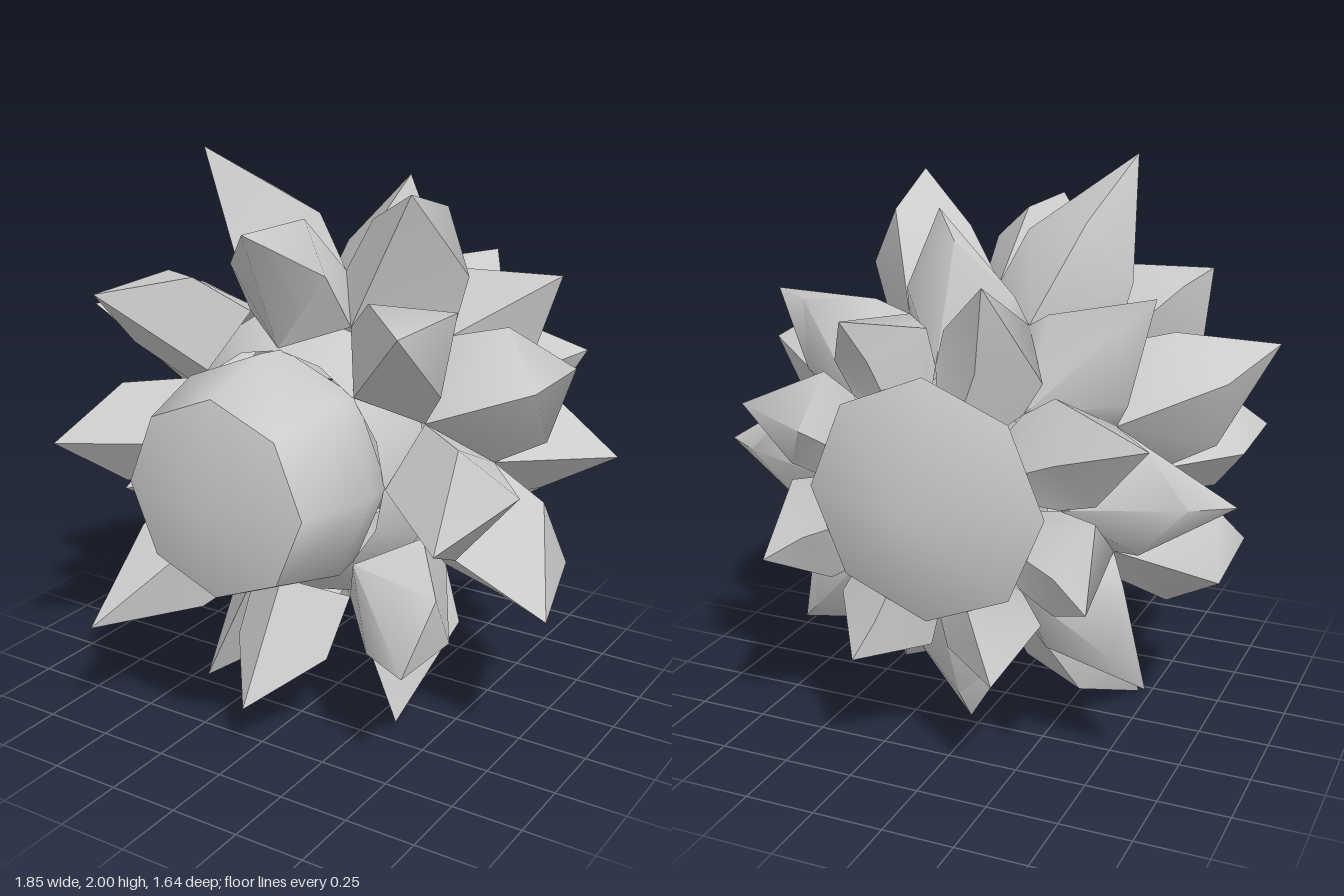
import * as THREE from 'three';
import { mergeVertices, toCreasedNormals } from 'three/addons/utils/BufferGeometryUtils.js';

const CY = 0.985; // height of the flower's axis
const HALF = Math.PI / 8; // half the angle between neighbouring petals
const mat = new THREE.MeshStandardMaterial({ color: 0xcccccc, side: THREE.DoubleSide });

// Body lattice, front to back as [radius, z]; neighbouring petals share these nodes.
const nodes = [[0.41, 0.37], [0.52, 0.24], [0.59, -0.05], [0.56, -0.31], [0.42, -0.56], [0.1, -0.61]];

// Hooded petal over one diamond cell of the lattice. Profile points are [radius, z]
// plus the shoulder's half width; tip is a free [x, y, z] point.
function petalGeometry(angle, tip, row, { knee, shoulder }) {
  const c = Math.cos(angle), s = Math.sin(angle);
  const at = (r, z, t = 0) => [r * c - t * s, r * s + t * c, z];
  const [br, bz] = nodes[row + 1];
  const T = [tip[0], tip[1] - CY, tip[2]];
  const K = at(...knee), F = at(...nodes[row]), R = at(...nodes[row + 2]);
  const pos = [];
  for (const side of [1, -1]) {
    const S = at(shoulder[0], shoulder[1], side * shoulder[2]);
    const B = at(br * Math.cos(HALF), bz, side * br * Math.sin(HALF));
    for (const f of [[T, K, S], [K, R, S], [T, S, F], [S, B, F], [S, R, B]]) {
      if (side < 0) f.reverse();
      pos.push(...f.flat());
    }
  }
  const g = new THREE.BufferGeometry();
  g.setAttribute('position', new THREE.Float32BufferAttribute(pos, 3));
  return toCreasedNormals(g, 1.1);
}

// Four rings of eight petals from front to back; tips run counter-clockwise.
const rings = [
  {
    name: 'frontPetal', knee: [0.81, 0.21], shoulder: [0.67, 0.37, 0.185],
    tips: [[0.8, 0.985, 0.76], [0.58, 1.56, 0.6], [0, 1.8, 0.56], [-0.57, 1.55, 0.61],
      [-0.8, 0.985, 0.6], [-0.54, 0.4, 0.75], [0, 0.18, 0.61], [0.57, 0.42, 0.53]],
  },
  {
    name: 'outerPetal', knee: [0.9, -0.14], shoulder: [0.76, -0.05, 0.2],
    tips: [[0.84, 1.33, 0.19], [0.4, 1.91, 0.21], [-0.4, 2.0, 0.21], [-0.92, 1.39, 0.21],
      [-0.83, 0.68, 0.2], [-0.455, 0, 0.21], [0.37, 0.05, 0.21], [0.92, 0.58, 0.21]],
  },
  {
    name: 'rearPetal', knee: [0.79, -0.41], shoulder: [0.62, -0.37, 0.19],
    tips: [[0.925, 0.985, -0.32], [0.66, 1.57, -0.39], [0.07, 1.87, -0.37], [-0.66, 1.64, -0.38],
      [-0.925, 0.985, -0.32], [-0.66, 0.33, -0.38], [0, 0.06, -0.31], [0.66, 0.33, -0.31]],
  },
  {
    name: 'backPetal', knee: [0.48, -0.67], shoulder: [0.51, -0.56, 0.18],
    tips: [[0.65, 1.24, -0.67], [0.25, 1.56, -0.72], [-0.22, 1.7, -0.7], [-0.74, 1.25, -0.67],
      [-0.57, 0.72, -0.72], [-0.25, 0.41, -0.71], [0.25, 0.41, -0.71], [0.57, 0.72, -0.72]],
  },
];

export function createModel() {
  const model = new THREE.Group();
  const add = (name, geometry, parent = model) => {
    const mesh = new THREE.Mesh(geometry, mat);
    mesh.name = name;
    parent.add(mesh);
    return mesh;
  };

  // Petal rings, alternate rings turned by half a step
  rings.forEach((ring, row) => {
    const group = new THREE.Group();
    group.name = ring.name + 's';
    group.position.y = CY;
    ring.tips.forEach((tip, i) =>
      add(ring.name, petalGeometry((2 * i + row % 2) * HALF, tip, row, ring), group));
    model.add(group);
  });

  // Part turned about the z axis with welded smooth normals, profile as [radius, z]
  const addTurned = (name, profile, sides = 8) => {
    const lathe = new THREE.LatheGeometry(profile.map(([r, z]) => new THREE.Vector2(r, z)), sides);
    lathe.deleteAttribute('uv');
    lathe.deleteAttribute('normal');
    const g = mergeVertices(lathe, 1e-4).rotateX(Math.PI / 2);
    g.computeVertexNormals();
    add(name, g).position.y = CY;
  };

  // Collar and rear plate closing the body
  addTurned('collar', [[0.5, 0.23], [0.4, 0.36]], 16);
  addTurned('rearPlate', [[0, -0.6], [0.38, -0.55]]);

  // Front drum with its shallow pointed lid, and the loose cap at the back
  addTurned('drum', [[0.4, 0.34], [0.415, 0.46], [0.335, 0.74]]);
  addTurned('drumLid', [[0.335, 0.74], [0, 0.82]]);
  addTurned('backCap', [[0, -0.82], [0.41, -0.66]]);

  return model;
}
